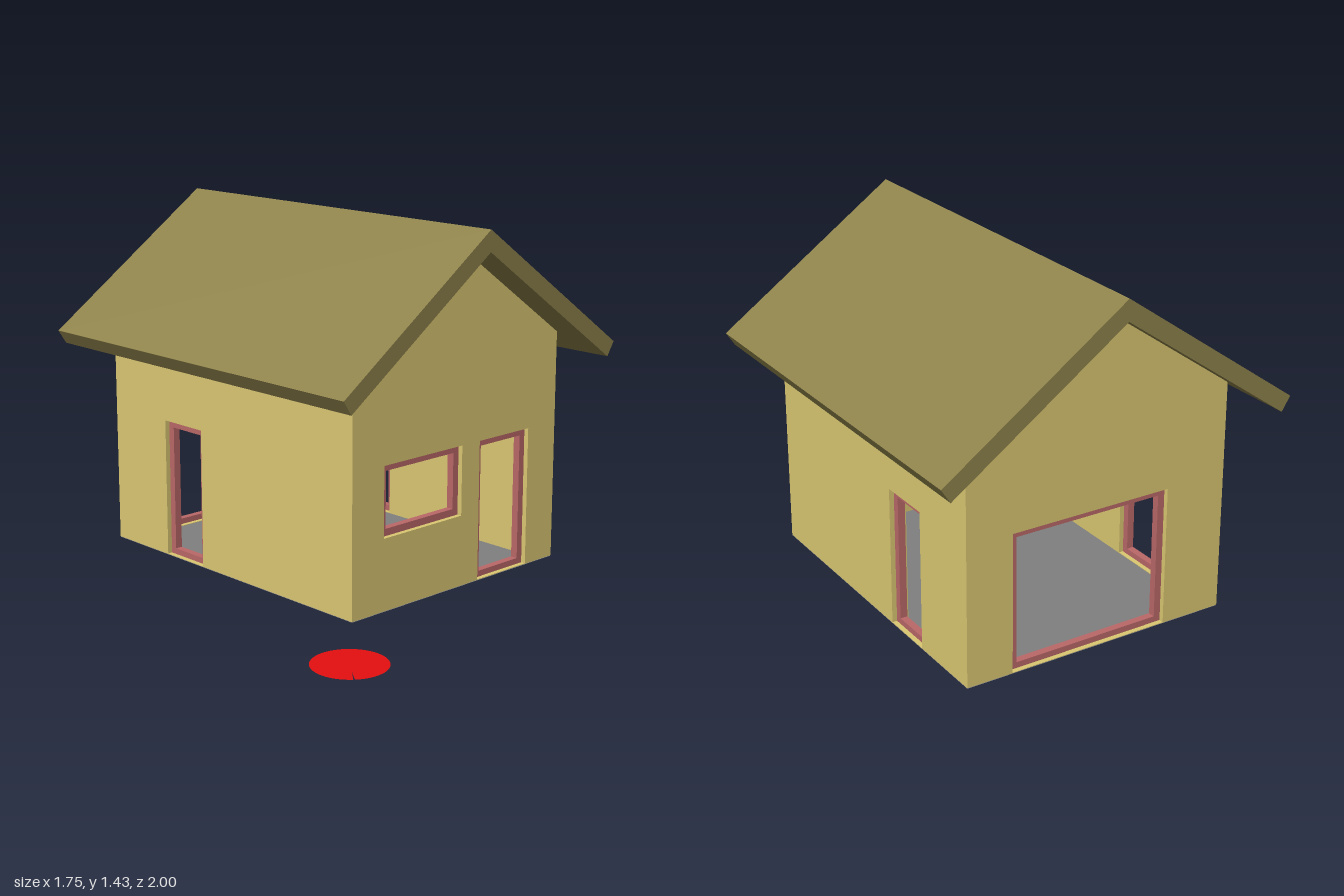
import * as THREE from 'three';

const mat = (color, side = THREE.FrontSide) =>
  new THREE.MeshStandardMaterial({ color, side, flatShading: true });

// House footprint, ridge and wall thickness
const L = -0.45, R = 0.69, FRONT = 0.57, BACK = -0.855, T = 0.07;
const MID = 0.12, RIDGE = 1.345, EAVE = 0.946, BASE = 0.002;
const FRAME_W = 0.0285, FRAME_D = 0.03;

const poly = (pts) => new THREE.Shape(pts.map(([x, y]) => new THREE.Vector2(x, y)));
const rect = (x0, x1, y0, y1) => poly([[x0, y0], [x1, y0], [x1, y1], [x0, y1]]);
const extrude = (shape, depth) =>
  new THREE.ExtrudeGeometry(shape, { depth, bevelEnabled: false });

export function createModel() {
  const house = new THREE.Group();
  house.name = 'house';
  const wallMat = mat(0xdbc872), frameMat = mat(0xbb6868), roofMat = mat(0x8e824b);

  const add = (name, geometry, material, parent = house) => {
    const mesh = new THREE.Mesh(geometry, material);
    mesh.name = name;
    parent.add(mesh);
    return mesh;
  };

  // A wall with openings [x0, x1, y0, y1], each lined by a recessed frame
  const addWall = (name, outline, openings) => {
    const wall = new THREE.Group();
    wall.name = name;
    const shape = poly(outline);
    openings.forEach(([x0, x1, y0, y1], i) => {
      const bottom = Math.max(y0, BASE * 2);
      shape.holes.push(rect(x0, x1, bottom, y1));
      const ring = rect(x0, x1, bottom, y1);
      ring.holes.push(rect(x0 + FRAME_W, x1 - FRAME_W, y0 + FRAME_W, y1 - FRAME_W));
      const frame = add(`${name}Frame${i + 1}`, extrude(ring, FRAME_D), frameMat, wall);
      frame.position.z = (T - FRAME_D) / 2;
    });
    add(`${name}Panel`, extrude(shape, T), wallMat, wall);
    house.add(wall);
    return wall;
  };

  // Gable walls: window and door in front, wide opening behind
  const gable = [[L, BASE], [R, BASE], [R, EAVE], [MID, RIDGE], [L, EAVE]];
  addWall('frontWall', gable, [
    [-0.285, 0.14, 0.29, 0.573],
    [0.24, 0.528, 0, 0.573],
  ]).position.z = FRONT - T;
  addWall('backWall', gable, [[-0.188, 0.496, 0, 0.573]]).position.z = BACK;

  // Side walls with one door each, drawn in (z, y)
  const side = [[BACK + T, BASE], [FRONT - T, BASE], [FRONT - T, EAVE], [BACK + T, EAVE]];
  for (const [name, x] of [['leftWall', R], ['rightWall', L + T]]) {
    const wall = addWall(name, side, [[-0.528, -0.3, 0, 0.573]]);
    wall.rotation.y = -Math.PI / 2;
    wall.position.x = x;
  }

  // Roof: two slabs meeting at the ridge
  for (const s of [1, -1]) {
    const pts = [[MID, RIDGE], [MID + s * 0.715, 0.845], [MID + s * 0.752, 0.902], [MID, 1.43]];
    const slab = add(s > 0 ? 'leftRoof' : 'rightRoof', extrude(poly(pts), 1.715), roofMat);
    slab.position.z = -1;
  }

  // Floor
  const floor = add('floor', new THREE.PlaneGeometry(R - L, FRONT - BACK),
    mat(0x808080, THREE.DoubleSide));
  floor.rotation.x = -Math.PI / 2;
  floor.position.set((L + R) / 2, 0, (FRONT + BACK) / 2);

  // Flat ground disc with a thin slit running in from the rim
  const slit = -2.23, gap = 0.02;
  const discShape = new THREE.Shape();
  discShape.absarc(0, 0, 0.143, slit + gap, slit + Math.PI * 2 - gap, false);
  discShape.lineTo(0.075 * Math.cos(slit), 0.075 * Math.sin(slit));
  const disc = add('groundDisc', new THREE.ShapeGeometry(discShape, 48),
    mat(0xe60f0f, THREE.DoubleSide));
  disc.rotation.x = -Math.PI / 2;
  disc.position.set(-0.737, 0, 0.857);

  return house;
}
